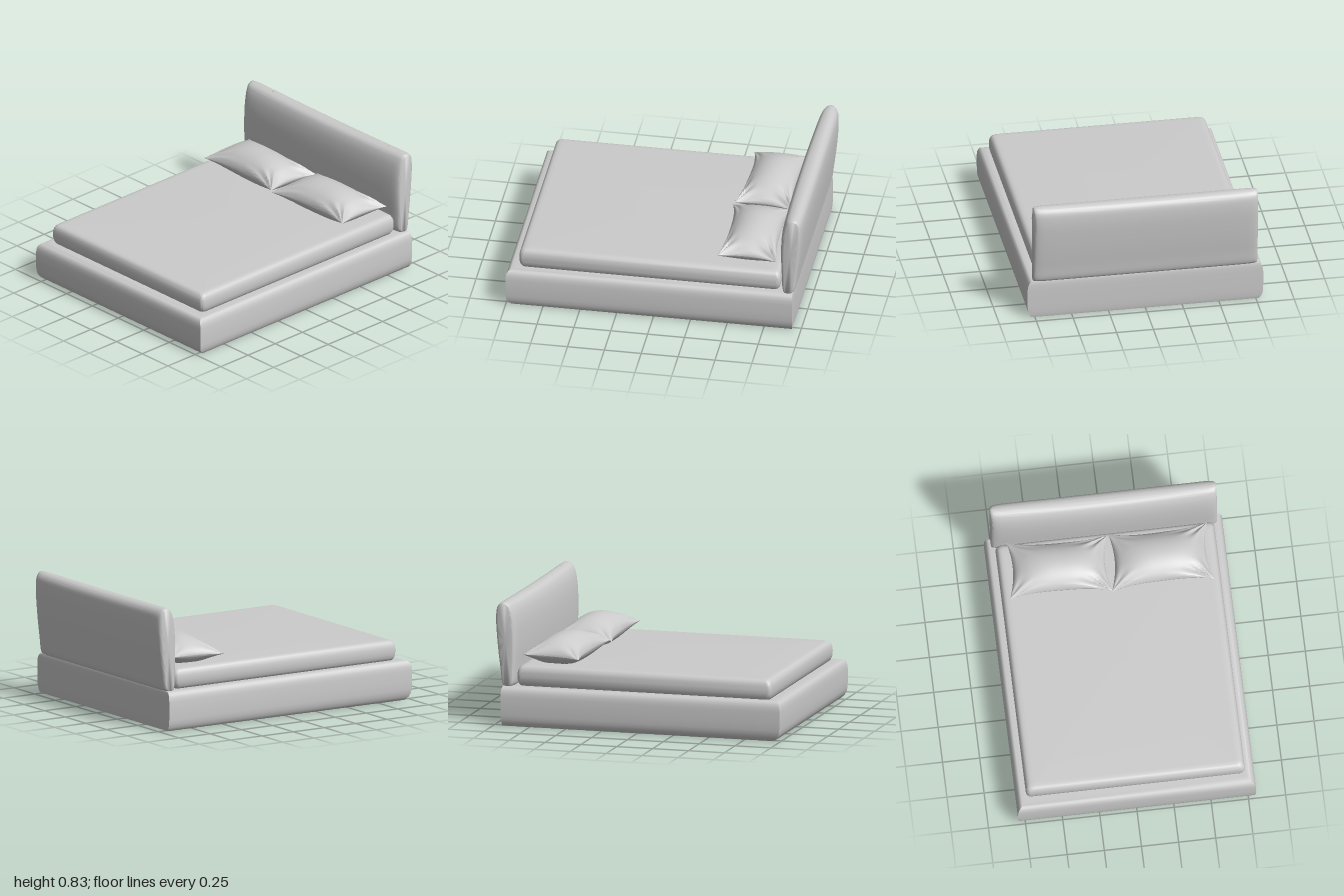
import * as THREE from 'three';
import { toCreasedNormals, mergeVertices } from 'three/addons/utils/BufferGeometryUtils.js';

const material = new THREE.MeshStandardMaterial({ color: 0xcccccc });

function addMesh(group, name, geometry, crease) {
  const mesh = new THREE.Mesh(toCreasedNormals(geometry, crease), material);
  mesh.name = name;
  group.add(mesh);
  return mesh;
}

// Closed solid through a list of equal-length rings, capped at both ends
function loft(rings) {
  const n = rings[0].length;
  const points = rings.flat();
  const index = [];
  for (let i = 0; i < rings.length - 1; i++) {
    for (let j = 0; j < n; j++) {
      const a = i * n + j, b = i * n + (j + 1) % n;
      index.push(a, a + n, b, b, a + n, b + n);
    }
  }
  [rings[0], rings[rings.length - 1]].forEach((ring, end) => {
    const centre = new THREE.Vector3();
    ring.forEach((p) => centre.addScaledVector(p, 1 / n));
    const c = points.push(centre) - 1;
    const start = end ? (rings.length - 1) * n : 0;
    for (let j = 0; j < n; j++) {
      const a = start + j, b = start + (j + 1) % n;
      if (end) index.push(c, b, a);
      else index.push(c, a, b);
    }
  });
  const geometry = new THREE.BufferGeometry().setFromPoints(points);
  geometry.setIndex(index);
  return geometry;
}

// Upholstered base: soft sides and front with mitred corners, nearly flat back
function baseGeometry() {
  // side inset, front inset, y
  const profile = [
    [0.03, 0.055, 0], [0.022, 0.038, 0.006], [0.013, 0.02, 0.022], [0.005, 0.008, 0.045],
    [0.001, 0.002, 0.075], [0, 0, 0.13], [0, 0, 0.2], [0.003, 0.003, 0.228],
    [0.009, 0.008, 0.247], [0.018, 0.017, 0.26], [0.03, 0.03, 0.268], [0.055, 0.06, 0.269],
  ];
  return loft(profile.map(([side, front, y]) => {
    const x = 0.8 - side, z = 1 - front, back = -0.945 + side * 0.2;
    return [[x, back], [x, z], [-x, z], [-x, back]].map(([px, pz]) => new THREE.Vector3(px, y, pz));
  }));
}

// Mattress: rounded rectangle in plan with softly bulging sides
function mattressGeometry() {
  const profile = [
    [0.025, 0.262], [0.014, 0.272], [0.006, 0.287], [0.001, 0.31], [0, 0.335],
    [0.001, 0.358], [0.005, 0.376], [0.012, 0.391], [0.022, 0.4], [0.036, 0.404], [0.06, 0.405],
  ];
  const signs = [[1, 1], [-1, 1], [-1, -1], [1, -1]];
  return loft(profile.map(([inset, y]) => {
    const ring = [], r = 0.03;
    const hx = 0.737 - inset - r, hz = 0.887 - inset - r;
    signs.forEach(([sx, sz], corner) => {
      for (let k = 0; k <= 6; k++) {
        const angle = (corner + k / 6) * Math.PI / 2;
        ring.push(new THREE.Vector3(sx * hx + r * Math.cos(angle), y, 0.034 + sz * hz + r * Math.sin(angle)));
      }
    });
    return ring;
  }));
}

// Headboard: leaning padded section swept across the width, rounded at its ends
function headboardGeometry() {
  const outline = [
    [-0.857, 0.275], [-0.846, 0.4], [-0.841, 0.58], [-0.849, 0.71], [-0.866, 0.785],
    [-0.888, 0.822], [-0.925, 0.835], [-0.965, 0.83], [-0.99, 0.803], [-1, 0.735],
    [-0.99, 0.56], [-0.968, 0.38], [-0.952, 0.28], [-0.935, 0.266], [-0.872, 0.265],
  ].map(([z, y]) => new THREE.Vector3(0, y, z));
  const section = new THREE.CatmullRomCurve3(outline, true).getPoints(72).slice(0, -1);
  // x and thickness factor
  const half = [[0.2, 1], [0.4, 1], [0.6, 1], [0.69, 0.99], [0.72, 0.96], [0.74, 0.91],
    [0.752, 0.84], [0.758, 0.76], [0.76, 0.66]];
  const stations = [...half.map(([x, k]) => [-x, k]).reverse(), [0, 1], ...half];
  return loft(stations.map(([x, k]) => {
    const t = (x / 0.76) ** 2;
    return section.map((p) => {
      const up = (p.y - 0.265) / 0.57;
      const mid = -0.902 - 0.032 * up;
      const z = mid + (p.z - mid) * k - (p.z > mid ? 0.014 * t : 0);
      const y = 0.55 + (p.y - 0.55) * (1 - (1 - k) * 0.06) - 0.008 * (1 - t) * up * up;
      return new THREE.Vector3(x, y, z);
    });
  }));
}

// One half of a pillow: side = 1 for the domed top, -1 for the resting underside
function pillowHalf(side, [c00, c10, c11, c01]) {
  const geometry = new THREE.PlaneGeometry(2, 2, 48, 36);
  const pos = geometry.attributes.position;
  for (let i = 0; i < pos.count; i++) {
    const u = Math.sin(pos.getX(i) * Math.PI / 2);
    const v = Math.sin(-pos.getY(i) * Math.PI / 2);
    const s = (u + 1) / 2, t = (v + 1) / 2;
    const mix = (k) => (c00[k] * (1 - s) + c10[k] * s) * (1 - t) + (c01[k] * (1 - s) + c11[k] * s) * t;
    // Edges bow inward between the pulled-out corners
    const x = mix(0) - 0.033 * u * (1 - v * v);
    const z = mix(1) - 0.035 * v * (1 - Math.abs(u) ** 3);
    const fill = Math.max(0, (1 - Math.abs(u) ** 2.5) * (1 - v * v)) ** 0.6;
    // Folds fanning from the corners
    const fan = Math.atan2(1.02 - Math.abs(v), 1.02 - Math.abs(u));
    const near = Math.max(0, Math.hypot(u, v) - 0.75) * (u > 0 ? 1 : 0.5);
    const fold = 0.03 * near * Math.sin(fan * 11 + u * 2) * Math.min(1, fill * 3);
    const seam = 0.463 + 0.006 * v * u;
    const y = side > 0 ? seam + 0.112 * fill + fold : seam - (seam - 0.404) * Math.min(1, fill * 1.7);
    pos.setXYZ(i, x, y, z);
  }
  if (side < 0) {
    const index = geometry.index.array;
    for (let i = 0; i < index.length; i += 3) [index[i], index[i + 1]] = [index[i + 1], index[i]];
  }
  geometry.deleteAttribute('normal');
  geometry.deleteAttribute('uv');
  return mergeVertices(geometry, 1e-5);
}

function addPillow(group, name, corners) {
  const pillow = new THREE.Group();
  pillow.name = name;
  addMesh(pillow, 'pillowTop', pillowHalf(1, corners), 1.2);
  addMesh(pillow, 'pillowUnderside', pillowHalf(-1, corners), 1.2);
  group.add(pillow);
}

export function createModel() {
  const bed = new THREE.Group();
  bed.name = 'bed';
  addMesh(bed, 'base', baseGeometry(), 0.7);
  addMesh(bed, 'mattress', mattressGeometry(), 0.9);
  addMesh(bed, 'headboard', headboardGeometry(), 0.9);
  // Corners as x, z: back right, back left, front left, front right
  addPillow(bed, 'rightPillow', [[-0.665, -0.83], [0.012, -0.812], [0, -0.408], [-0.686, -0.432]]);
  addPillow(bed, 'leftPillow', [[0.018, -0.812], [0.685, -0.825], [0.687, -0.412], [-0.003, -0.405]]);
  return bed;
}
